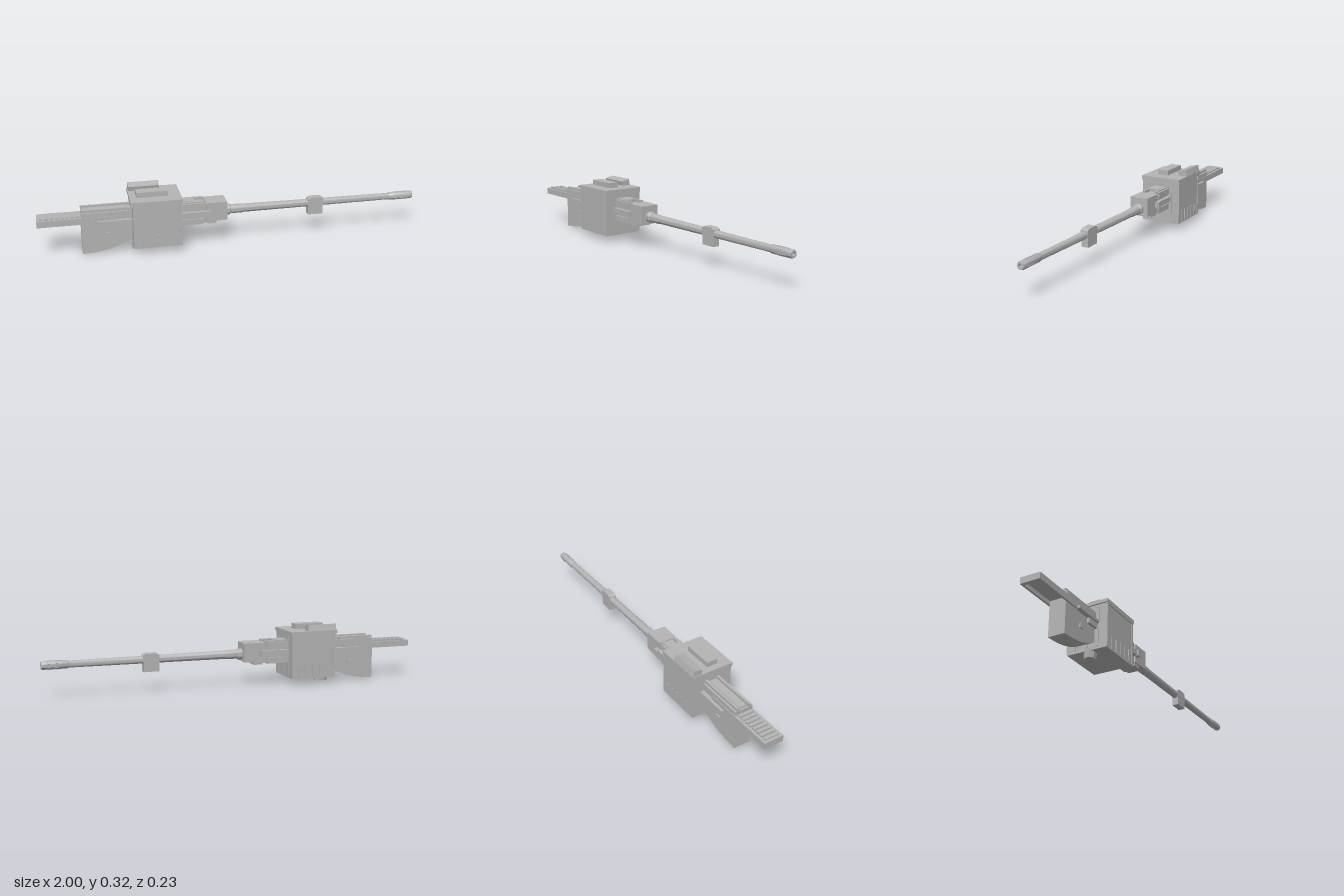
import * as THREE from 'three';
import { toCreasedNormals } from 'three/addons/utils/BufferGeometryUtils.js';

export function createModel() {
  const model = new THREE.Group();
  model.name = 'mountedGun';
  const steel = new THREE.MeshStandardMaterial({ color: 0xb4b4b4 });
  steel.name = 'grey steel';

  const add = (name, geometry) => {
    const mesh = new THREE.Mesh(geometry, steel);
    mesh.name = name;
    model.add(mesh);
    return mesh;
  };
  // Box given by its limits on each axis
  const box = (name, x0, x1, y0, y1, z0, z1) => {
    const mesh = add(name, new THREE.BoxGeometry(x1 - x0, y1 - y0, z1 - z0));
    mesh.position.set((x0 + x1) / 2, (y0 + y1) / 2, (z0 + z1) / 2);
    return mesh;
  };
  // Same box on both sides of the gun
  const pair = (name, x0, x1, y0, y1, z0, z1) => {
    box(name + 'Left', x0, x1, y0, y1, z0, z1);
    box(name + 'Right', x0, x1, y0, y1, -z1, -z0);
  };
  // Side outline in x and y, extruded across z
  const slab = (name, shape, z0, z1) => {
    const g = new THREE.ExtrudeGeometry(shape, { depth: z1 - z0, bevelEnabled: false, curveSegments: 10 });
    return add(name, toCreasedNormals(g.translate(0, 0, z0), 0.5));
  };
  const outline = (pts) => new THREE.Shape(pts.map((p) => new THREE.Vector2(...p)));
  // Turned part along x, from [radius, x] pairs
  const turned = (name, pts, sides = 24) => {
    const g = new THREE.LatheGeometry(pts.map((p) => new THREE.Vector2(...p)), sides);
    const mesh = add(name, toCreasedNormals(g, 0.6));
    mesh.rotation.z = -Math.PI / 2;
    mesh.position.y = 0.168;
    return mesh;
  };

  // Barrel with collar and hollow muzzle
  turned('barrelCollar', [[0, -0.04], [0.029, -0.04], [0.029, -0.015], [0.025, -0.01], [0, -0.01]]);
  turned('barrel', [[0.024, -0.03], [0.024, 0.05], [0.022, 0.06], [0.0175, 0.86], [0.0175, 0.88]]);
  turned('muzzle', [[0.0175, 0.865], [0.021, 0.872], [0.021, 0.99], [0.018, 1], [0.009, 1], [0.009, 0.9], [0, 0.9]]);
  for (let i = 0; i < 6; i++) {
    const pivot = new THREE.Group();
    pivot.name = 'muzzleSlot';
    const rib = new THREE.Mesh(new THREE.BoxGeometry(0.07, 0.003, 0.005), steel);
    rib.name = 'muzzleRib';
    rib.position.set(0.935, 0.021, 0);
    pivot.add(rib);
    pivot.position.y = 0.168;
    pivot.rotation.x = (i * Math.PI) / 3;
    model.add(pivot);
  }

  // Barrel clamp with a block hanging below
  slab('barrelClamp', outline([[0.41, 0.155], [0.495, 0.155], [0.495, 0.19], [0.48, 0.199], [0.425, 0.199], [0.41, 0.19]]), -0.02, 0.02);
  box('clampBlock', 0.412, 0.492, 0.106, 0.157, -0.018, 0.018);

  // Front housing
  slab('frontHousing', outline([[-0.145, 0.125], [-0.035, 0.13], [-0.035, 0.228], [-0.145, 0.228]]), -0.051, 0.051);
  box('frontHousingLip', -0.14, -0.09, 0.112, 0.126, -0.043, 0.043);

  // Receiver with rails, bolts and top cover
  box('receiver', -0.78, -0.14, 0.118, 0.222, -0.042, 0.042);
  pair('receiverTopRail', -0.78, -0.15, 0.215, 0.236, 0.027, 0.04);
  box('topCoverFront', -0.28, -0.2, 0.22, 0.238, -0.027, 0.027);
  box('topCoverRear', -0.77, -0.54, 0.22, 0.23, -0.02, 0.02);
  pair('frontSlide', -0.28, -0.12, 0.16, 0.187, 0.04, 0.062);
  pair('frontSlideStop', -0.15, -0.125, 0.158, 0.19, 0.05, 0.071);
  pair('frontUpperPlate', -0.28, -0.16, 0.198, 0.23, 0.04, 0.05);
  pair('frontLowerPlate', -0.28, -0.16, 0.115, 0.145, 0.04, 0.05);
  pair('rearSlide', -0.7, -0.53, 0.165, 0.18, 0.04, 0.068);
  pair('rearSlideFoot', -0.6, -0.53, 0.138, 0.165, 0.04, 0.058);
  pair('rearUpperPlate', -0.78, -0.53, 0.185, 0.222, 0.04, 0.05);
  for (const x of [-0.24, -0.17]) pair('bolt', x - 0.005, x + 0.005, 0.208, 0.218, 0.05, 0.054);

  // Curved rear lower body
  const body = new THREE.Shape();
  body.moveTo(-0.782, 0.19);
  body.lineTo(-0.782, 0.003);
  body.lineTo(-0.765, 0.004);
  body.quadraticCurveTo(-0.63, 0.008, -0.53, 0.068);
  body.lineTo(-0.53, 0.19);
  slab('rearLowerBody', body, -0.044, 0.044);
  pair('rearLowerLatch', -0.665, -0.635, 0.085, 0.11, 0.043, 0.05);

  // Rear tray: open frame below, stepped plate above
  pair('trayRail', -1, -0.6, 0.167, 0.2, 0.042, 0.053);
  box('trayEnd', -1, -0.982, 0.167, 0.2, -0.053, 0.053);
  box('trayPlate', -0.99, -0.77, 0.187, 0.198, -0.046, 0.046);
  for (let i = 0; i < 8; i++) {
    const x = -0.985 + i * 0.026;
    box('trayStep', x, x + 0.017, 0.197, 0.207, -0.038, 0.038);
  }

  // Ammunition box with lid
  box('ammoBox', -0.527, -0.28, 0.034, 0.268, -0.108, 0.108);
  box('ammoBoxLid', -0.535, -0.274, 0.268, 0.285, -0.114, 0.115);
  pair('lidSkirt', -0.53, -0.277, 0.26, 0.27, 0.107, 0.114);
  // Raised frame and ribs on the long sides
  pair('sideFrameBack', -0.527, -0.513, 0.04, 0.262, 0.107, 0.112);
  pair('sideFrameFront', -0.294, -0.28, 0.04, 0.262, 0.107, 0.112);
  for (let i = 0; i < 5; i++) {
    const x = -0.482 + i * 0.04;
    pair('sideRib', x, x + 0.007, 0.04, 0.105, 0.107, 0.112);
  }
  // Raised strips on the box ends
  for (const [x0, x1] of [[-0.28, -0.277], [-0.53, -0.527]]) {
    pair('endStrip', x0, x1, 0.05, 0.255, 0.062, 0.066);
    pair('endStripTop', x0, x1, 0.251, 0.255, 0.055, 0.066);
    pair('endStripFoot', x0, x1, 0.05, 0.054, 0.055, 0.066);
    box('endMidStripTop', x0, x1, 0.225, 0.255, -0.006, 0.006);
    box('endMidStripFoot', x0, x1, 0.05, 0.11, -0.006, 0.006);
  }

  // Blocks on the lid, one of them leaning
  box('lidBlock', -0.5, -0.34, 0.284, 0.312, -0.011, 0.048);
  box('lidBlockPlate', -0.34, -0.337, 0.291, 0.3, -0.004, 0.042);
  const lean = box('leaningBlock', -0.53, -0.37, 0.277, 0.312, -0.111, -0.063);
  lean.rotation.x = 0.23;
  lean.position.set(-0.45, 0.296, -0.0855);

  // Chute below the box
  const chute = add('chute', toCreasedNormals(new THREE.CylinderGeometry(0.043, 0.04, 0.036, 8), 0.4));
  chute.rotation.y = Math.PI / 8;
  chute.position.set(-0.494, 0.018, 0);
  chute.scale.z = 0.75;

  return model;
}
